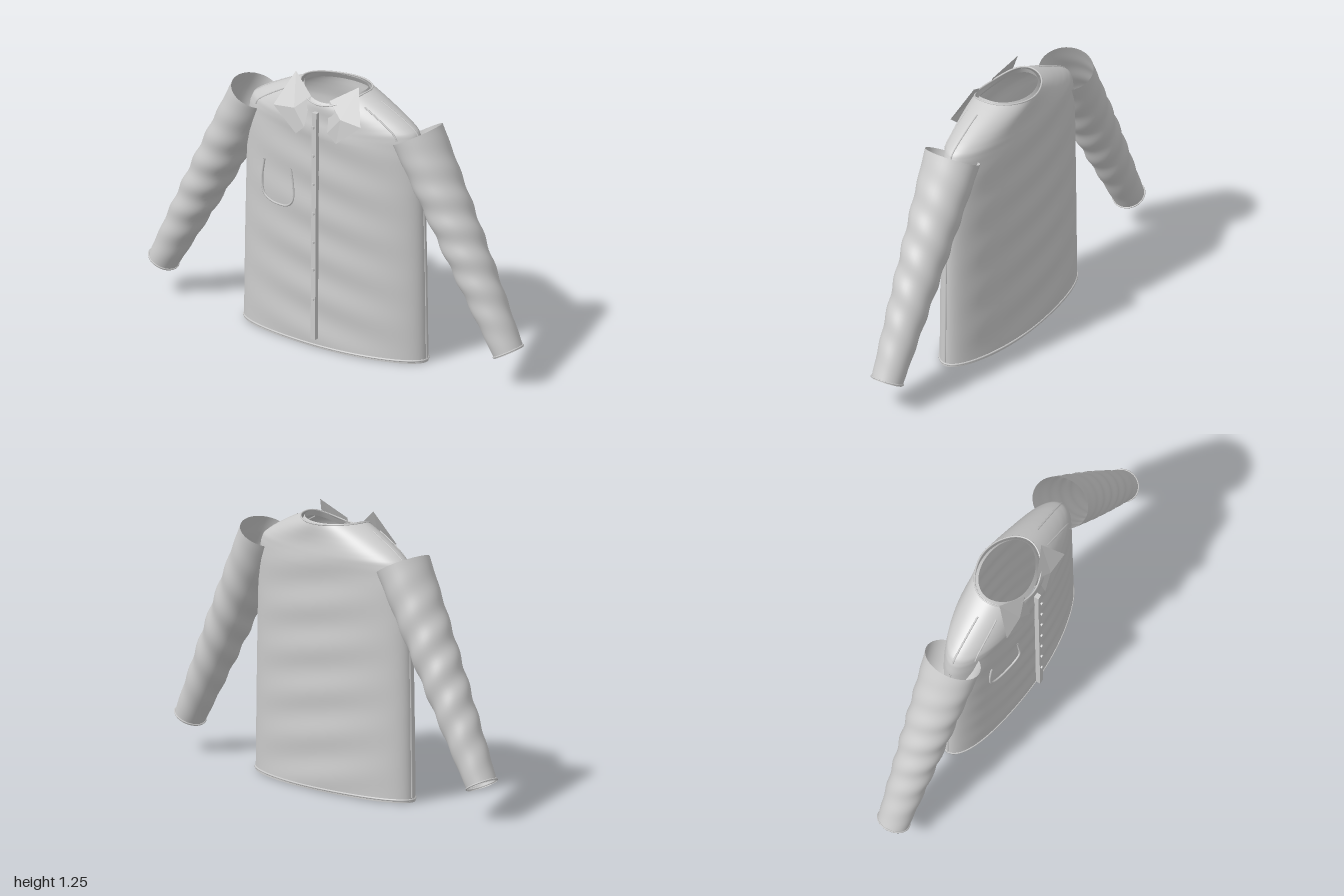
import * as THREE from 'three';

const material = new THREE.MeshStandardMaterial({ color: 0xcccccc, side: THREE.DoubleSide });
const V = (x, y, z) => new THREE.Vector3(x, y, z);

// Smooth open surface from a rule point(u, v), closed around u
function loft(name, point, around, along) {
  const pos = [], index = [];
  for (let j = 0; j <= along; j++)
    for (let i = 0; i < around; i++) pos.push(...point((i / around) * Math.PI * 2, j / along).toArray());
  for (let j = 0; j < along; j++)
    for (let i = 0; i < around; i++) {
      const k = (i + 1) % around, a = j * around + i, b = j * around + k;
      const c = (j + 1) * around + i, d = (j + 1) * around + k;
      index.push(a, c, b, b, c, d);
    }
  const g = new THREE.BufferGeometry();
  g.setAttribute('position', new THREE.Float32BufferAttribute(pos, 3));
  g.setIndex(index);
  g.computeVertexNormals();
  return named(name, g);
}

function named(name, geometry) {
  const m = new THREE.Mesh(geometry, material);
  m.name = name;
  return m;
}

function cord(name, points, radius, closed = false) {
  const curve = new THREE.CatmullRomCurve3(points, closed);
  return named(name, new THREE.TubeGeometry(curve, closed ? 96 : 32, radius, 6, closed));
}

// Torso half width and half depth by height: [y, rx, rz]
const PROFILE = [[0, 0.488, 0.146], [0.4, 0.482, 0.144], [0.8, 0.472, 0.146], [0.97, 0.464, 0.146],
  [1.04, 0.452, 0.146], [1.075, 0.435, 0.146], [1.105, 0.39, 0.145], [1.135, 0.335, 0.144],
  [1.165, 0.275, 0.142], [1.19, 0.22, 0.139], [1.212, 0.168, 0.134]];

function sizeAt(y) {
  let i = 0;
  while (i < PROFILE.length - 2 && y > PROFILE[i + 1][0]) i++;
  const [a, b] = [PROFILE[i], PROFILE[i + 1]];
  const t = (y - a[0]) / (b[0] - a[0]);
  return [THREE.MathUtils.lerp(a[1], b[1], t), THREE.MathUtils.lerp(a[2], b[2], t)];
}

// Point on the torso; soft folds, and a neckline that dips at the front
function torsoPoint(angle, y) {
  const [rx, rz] = sizeAt(y);
  const c = Math.cos(angle), s = Math.sin(angle);
  const fold = 0.004 * Math.sin(y * 32 + c * 3) * s * s;
  const rise = THREE.MathUtils.clamp((y - 0.98) / 0.23, 0, 1);
  const drop = rise * (s > 0 ? 0.06 * s * s : 0.01 * s * s);
  return V(rx * c, y - drop, -0.015 + (rz + fold) * s);
}

// Point just above the torso front at x, y
function onFront(x, y, lift = 0.004) {
  const [rx] = sizeAt(y);
  const p = torsoPoint(Math.acos(THREE.MathUtils.clamp(x / rx, -1, 1)), y);
  p.z += lift;
  return p;
}

function sleeve(side) {
  const group = new THREE.Group();
  group.name = side > 0 ? 'leftSleeve' : 'rightSleeve';
  const top = V(0.437, 1.068, -0.02), end = V(0.935, 0.15, -0.013);
  const across = V(0.88, 0.476, 0);
  const point = (a, t, grow = 0) => {
    const p = top.clone().lerp(end, t);
    const fold = 0.004 * Math.sin(t * 44 + a * 2) * Math.sin(Math.PI * t);
    const bulge = 0.008 * Math.sin(Math.PI * t);
    const r1 = THREE.MathUtils.lerp(0.11, 0.068, t) + bulge + fold + grow;
    const r2 = THREE.MathUtils.lerp(0.132, 0.072, t) + fold + grow;
    p.addScaledVector(across, r1 * Math.cos(a));
    p.z += r2 * Math.sin(a);
    p.x *= side;
    return p;
  };
  group.add(loft('sleeveTube', (a, t) => point(a, t), 40, 60));
  const ring = [];
  for (let i = 0; i < 24; i++) ring.push(point((i / 24) * Math.PI * 2, 0.993, 0.001));
  group.add(cord('cuffEdge', ring, 0.004, true));
  return group;
}

// Pointed collar leaf, leaning back at its top corner
function collarLeaf(side) {
  const corners = [[0.05, 1.175, 0.105], [0.17, 1.25, 0.052], [0.235, 1.1, 0.132],
    [0.108, 0.995, 0.14], [0.062, 1.037, 0.142]];
  const centre = [0.125, 1.11, 0.13];
  const pos = [];
  corners.forEach((p, i) => {
    for (const q of [centre, corners[(i + 1) % 5], p]) pos.push(q[0] * side, q[1], q[2]);
  });
  const g = new THREE.BufferGeometry();
  g.setAttribute('position', new THREE.Float32BufferAttribute(pos, 3));
  // Reorder so both leaves face forward
  if (side > 0) for (let i = 0; i < pos.length; i += 9)
    for (let k = 0; k < 3; k++) {
      const a = g.attributes.position.array;
      [a[i + 3 + k], a[i + 6 + k]] = [a[i + 6 + k], a[i + 3 + k]];
    }
  g.computeVertexNormals();
  return named(side > 0 ? 'leftCollarLeaf' : 'rightCollarLeaf', g);
}

export function createModel() {
  const shirt = new THREE.Group();
  shirt.name = 'shirt';

  // Torso with extra rings over the shoulders
  shirt.add(loft('torso', (a, t) => {
    const y = t < 0.7 ? (t / 0.7) * 1.0 : 1.0 + ((t - 0.7) / 0.3) * 0.212;
    return torsoPoint(a, y);
  }, 96, 80));

  // Hem cord
  const hem = [];
  for (let i = 0; i < 48; i++) hem.push(torsoPoint((i / 48) * Math.PI * 2, 0.012));
  shirt.add(cord('hem', hem, 0.005, true));

  // Neckband standing inside the neckline
  shirt.add(loft('neckband', (a, t) => {
    const p = torsoPoint(a, 1.212);
    const s = Math.sin(a);
    return V(p.x * (0.98 - 0.06 * t), p.y - 0.025 + 0.025 * t, -0.018 + s * (0.128 - 0.016 * t));
  }, 64, 4));
  const rim = [];
  for (let i = 0; i < 32; i++) rim.push(torsoPoint((i / 32) * Math.PI * 2, 1.21));
  shirt.add(cord('necklineEdge', rim, 0.004, true));

  for (const side of [1, -1]) {
    shirt.add(sleeve(side), collarLeaf(side));
    // Shoulder, yoke and side seams
    const seam = (name, angle, y0, y1) => {
      const pts = [];
      for (let i = 0; i <= 8; i++) {
        const p = torsoPoint(angle, THREE.MathUtils.lerp(y0, y1, i / 8));
        p.x *= side;
        pts.push(p);
      }
      shirt.add(cord(name, pts, 0.004));
    };
    seam('shoulderSeam', 0, 1.05, 1.18);
    seam('yokeSeam', 0.55, 1.05, 1.18);
    seam('sideSeam', 0, 0.02, 0.95);
  }

  // Button placket, leaning slightly back toward the neck
  const placket = named('placket', new THREE.BoxGeometry(0.024, 1.07, 0.022));
  placket.position.set(0, 0.585, 0.147);
  placket.rotation.x = -0.009;
  shirt.add(placket);
  for (const y of [0.24, 0.38, 0.51, 0.645, 0.785, 0.92, 1.055]) {
    const button = named('button', new THREE.CylinderGeometry(0.007, 0.007, 0.008, 12));
    button.rotation.x = Math.PI / 2;
    button.position.set(0, y, 0.164);
    shirt.add(button);
  }

  // Chest pocket outline
  const outline = [[-0.308, 0.815], [-0.32, 0.72], [-0.308, 0.655], [-0.265, 0.632], [-0.22, 0.628],
    [-0.165, 0.635], [-0.132, 0.665], [-0.13, 0.72], [-0.143, 0.815]];
  shirt.add(cord('pocketOutline', outline.map(([x, y]) => onFront(x, y)), 0.005));

  return shirt;
}
